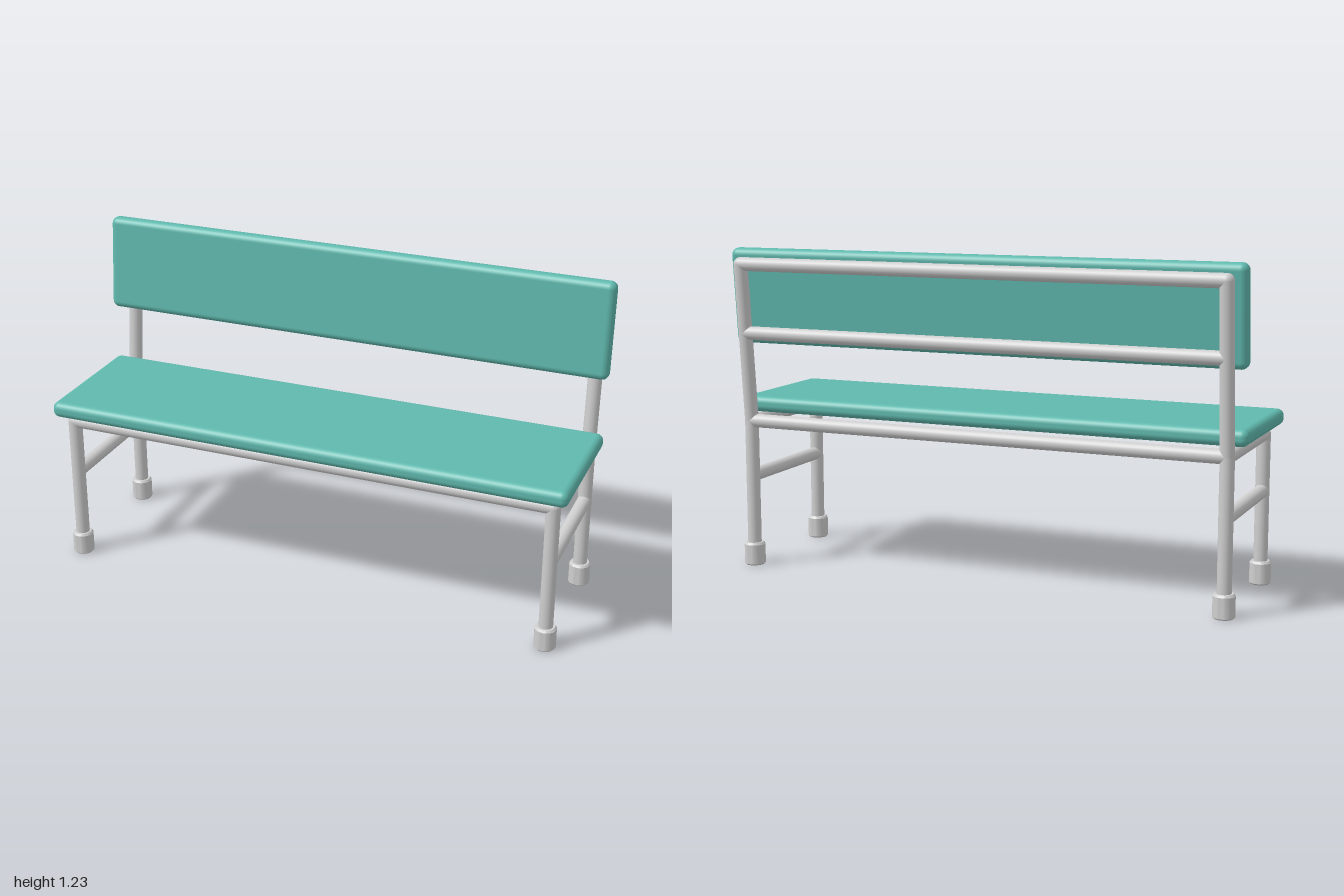
import * as THREE from 'three';
import { RoundedBoxGeometry } from 'three/addons/geometries/RoundedBoxGeometry.js';
import { toCreasedNormals } from 'three/addons/utils/BufferGeometryUtils.js';

const R = 0.026; // tube radius
const X = 0.938; // side frame offset

export function createModel() {
  const model = new THREE.Group();
  model.name = 'bench';
  const teal = new THREE.MeshStandardMaterial({ color: 0x60b9ae });
  teal.name = 'teal padding';
  const grey = new THREE.MeshStandardMaterial({ color: 0xcfcfcf });
  grey.name = 'light grey metal';

  const add = (name, geometry, material, x, y, z) => {
    const mesh = new THREE.Mesh(geometry, material);
    mesh.name = name;
    mesh.position.set(x, y, z);
    model.add(mesh);
    return mesh;
  };

  // Straight tube between two points
  const tube = (name, a, b) => {
    const from = new THREE.Vector3(...a), to = new THREE.Vector3(...b);
    const dir = to.clone().sub(from);
    const mid = from.clone().add(to).multiplyScalar(0.5);
    const mesh = add(name, new THREE.CylinderGeometry(R, R, dir.length(), 24, 1, true), grey, mid.x, mid.y, mid.z);
    mesh.quaternion.setFromUnitVectors(new THREE.Vector3(0, 1, 0), dir.normalize());
  };

  // Rounded corner where tubes meet
  const joint = (x, y, z) => add('tubeJoint', new THREE.SphereGeometry(R, 24, 16), grey, x, y, z);

  const railY = 0.565, lowY = 0.352, topY = 1.167, midY = 0.905;
  const frontZ = 0.253, rearZ = -0.24, topZ = -0.292;
  const midZ = THREE.MathUtils.mapLinear(midY, railY, topY, rearZ, topZ);

  // Foot cap with bevelled rims
  const footProfile = [[0, 0], [0.035, 0], [0.04, 0.005], [0.04, 0.08], [0.034, 0.088], [0, 0.088]]
    .map(([r, y]) => new THREE.Vector2(r, y));
  const footGeometry = toCreasedNormals(new THREE.LatheGeometry(footProfile, 32), 0.6);

  // Side frames
  for (const [side, x] of [['left', X], ['right', -X]]) {
    tube(side + 'FrontLeg', [x, 0.04, frontZ], [x, railY, frontZ]);
    tube(side + 'RearLeg', [x, 0.04, rearZ], [x, railY, rearZ]);
    tube(side + 'BackPost', [x, railY, rearZ], [x, topY, topZ]);
    tube(side + 'SeatRail', [x, railY, frontZ], [x, railY, rearZ]);
    tube(side + 'Stretcher', [x, lowY, frontZ], [x, lowY, rearZ]);
    joint(x, railY, frontZ);
    joint(x, railY, rearZ);
    joint(x, topY, topZ);
    add(side + 'FrontFoot', footGeometry, grey, x, 0, frontZ);
    add(side + 'RearFoot', footGeometry, grey, x, 0, rearZ);
  }

  // Long rails joining the side frames
  for (const [name, y, z] of [
    ['frontSeatRail', railY, frontZ],
    ['rearSeatRail', railY, rearZ],
    ['middleBackRail', midY, midZ],
    ['topBackRail', topY, topZ],
  ]) tube(name, [-X, y, z], [X, y, z]);

  // Padded seat and tilted backrest
  add('seat', new RoundedBoxGeometry(2, 0.061, 0.532, 5, 0.026), teal, 0, 0.6235, 0.052);
  const back = add('backrest', new RoundedBoxGeometry(2, 0.363, 0.061, 5, 0.026), teal, 0, 1.044, -0.2245);
  back.rotation.x = -Math.atan2(rearZ - topZ, topY - railY);

  return model;
}
